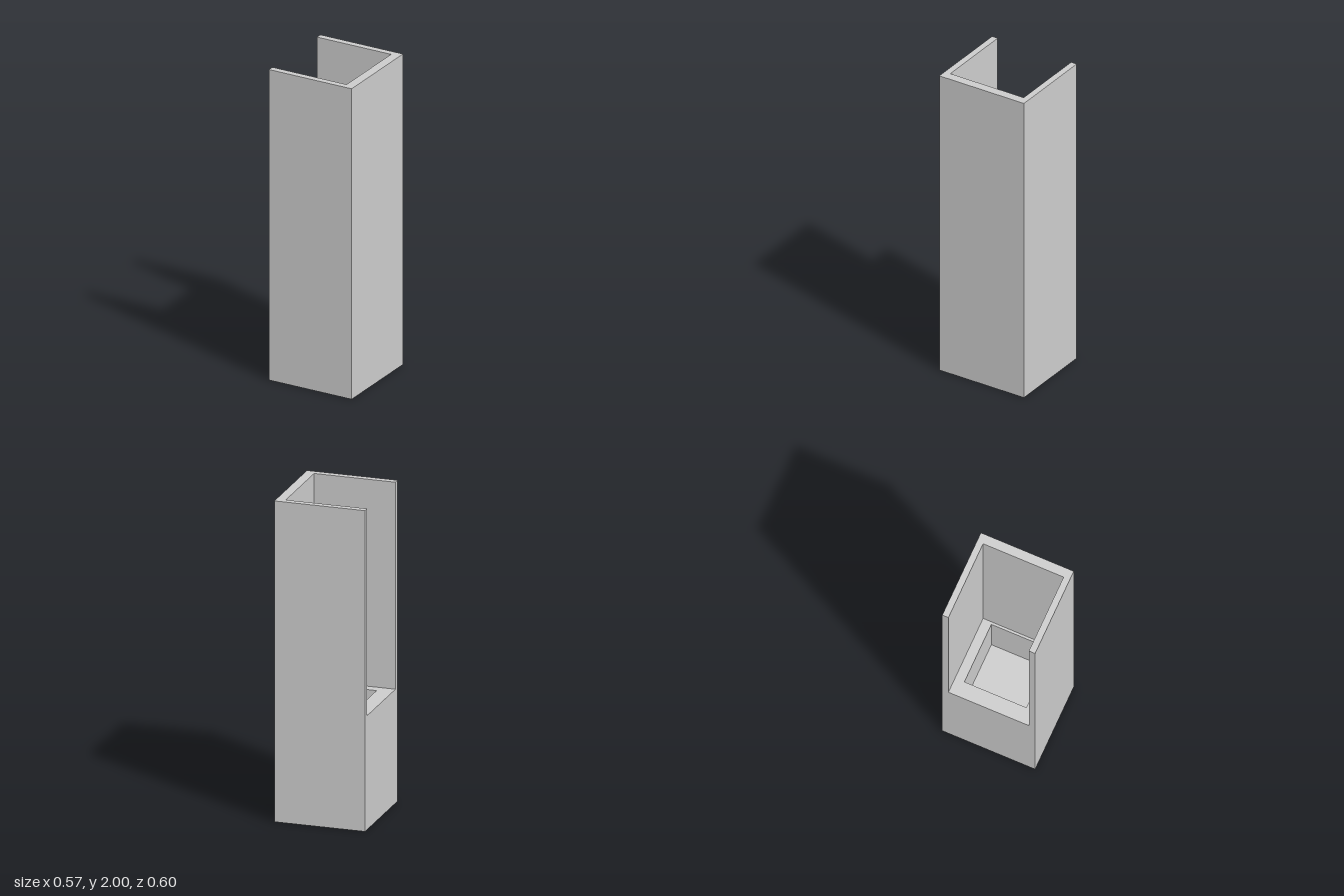
import * as THREE from 'three';

const material = new THREE.MeshStandardMaterial({ color: 0xcccccc, flatShading: true, side: THREE.DoubleSide });

// Upright walls along a path of [x, z] points; counter-clockwise from above faces outward
function walls(name, path, y0, y1) {
  const pos = [];
  for (let i = 0; i < path.length - 1; i++) {
    const [ax, az] = path[i], [bx, bz] = path[i + 1];
    pos.push(ax, y0, az, bx, y0, bz, bx, y1, bz);
    pos.push(ax, y0, az, bx, y1, bz, ax, y1, az);
  }
  const geo = new THREE.BufferGeometry();
  geo.setAttribute('position', new THREE.Float32BufferAttribute(pos, 3));
  geo.computeVertexNormals();
  return named(name, geo);
}

// Level plate with an [x, z] outline and an optional hole
function plate(name, outline, y, hole, down = false) {
  const s = down ? 1 : -1;
  const toV2 = ([x, z]) => new THREE.Vector2(x, s * z);
  const shape = new THREE.Shape(outline.map(toV2));
  if (hole) shape.holes.push(new THREE.Path(hole.map(toV2)));
  const geo = new THREE.ShapeGeometry(shape).rotateX(s * Math.PI / 2).translate(0, y, 0);
  return named(name, geo);
}

function named(name, geo) {
  const mesh = new THREE.Mesh(geo, material);
  mesh.name = name;
  return mesh;
}

const rect = (x0, x1, z) => [[x0, z], [x1, z], [x1, -z], [x0, -z]];

export function createModel() {
  const group = new THREE.Group();
  group.name = 'openSidedColumn';

  const X = 0.283, Z = 0.3, H = 2;           // outer size
  const xi = 0.225, zi = 0.26;               // inside faces of the upper walls
  const ledgeY = 0.71, floorY = 0.36, underY = 0.315;

  const outer = rect(-X, X, Z);
  const inner = rect(-X, xi, zi);
  const pocket = rect(-0.185, 0.21, 0.2);
  const closedPocket = [...pocket, pocket[0]].reverse();

  group.add(
    // Outside: three tall sides and the low side under the opening
    walls('outerWalls', outer, 0, H),
    walls('lowSide', [[-X, -Z], [-X, Z]], 0, ledgeY),
    // Upper chamber, open on one side
    walls('innerWalls', [...inner].reverse(), ledgeY, H),
    plate('topRim', [...outer, ...[...inner].reverse()], H),
    // Ledge with a sunken pocket
    plate('ledge', outerLedge(X, xi, zi), ledgeY, pocket),
    walls('pocketWalls', closedPocket, floorY, ledgeY),
    plate('pocketFloor', pocket, floorY),
    // Closed underside, recessed inside the thin skirt
    plate('underside', outer, underY, null, true)
  );

  // Wall ends beside the opening
  for (const side of [-1, 1]) {
    const ends = [[-X, side * zi], [-X, side * Z]];
    group.add(walls('wallEnd', side > 0 ? ends : ends.reverse(), ledgeY, H));
  }
  return group;
}

// Outline of the ledge between the upper walls
function outerLedge(X, xi, zi) {
  return rect(-X, xi, zi);
}
